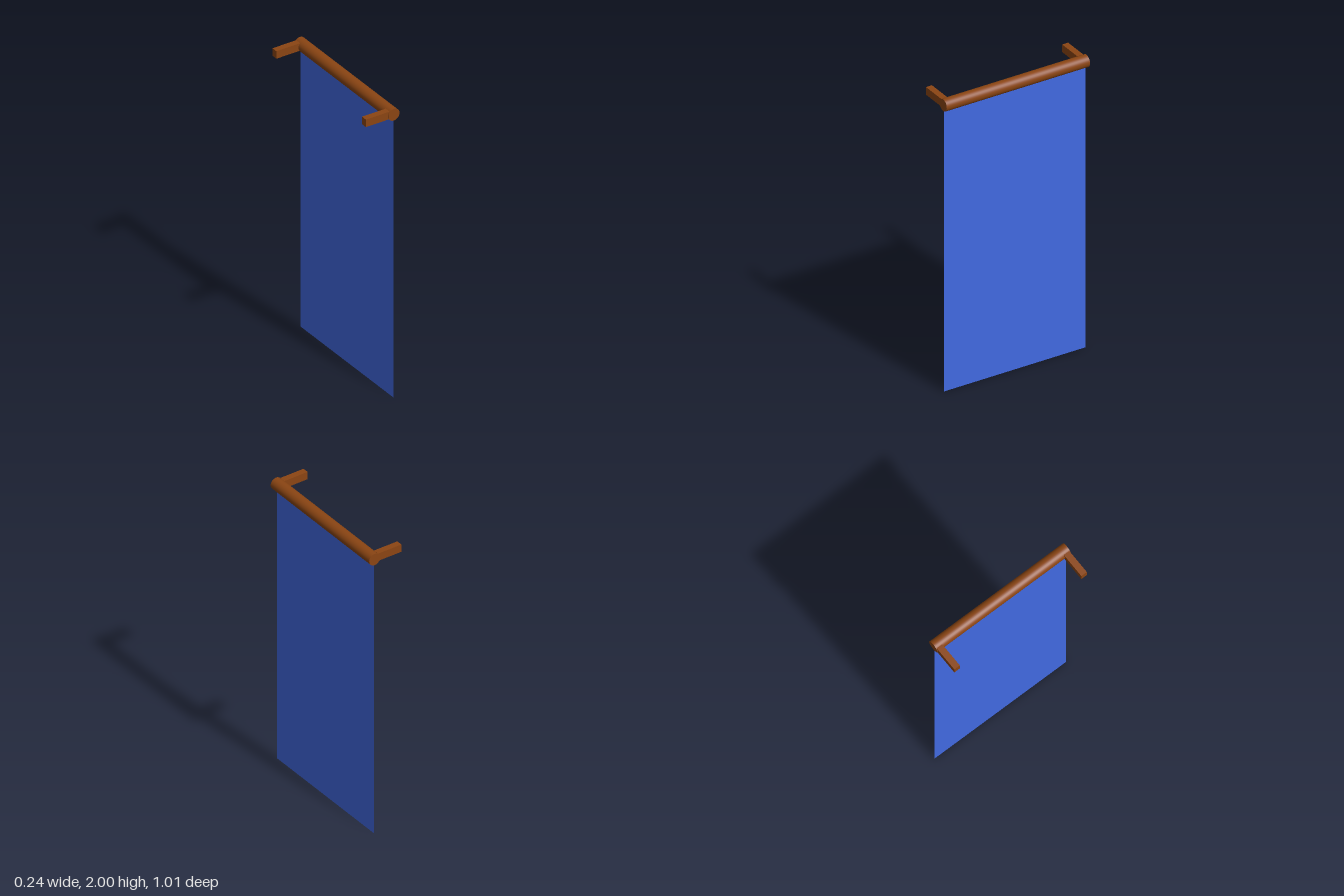
import * as THREE from 'three';

export function createModel() {
  const model = new THREE.Group();
  const wood = new THREE.MeshStandardMaterial({ color: 0x8b4513 });
  const fabric = new THREE.MeshStandardMaterial({ color: 0x4169e1, side: THREE.DoubleSide });

  const rodX = 0.078, rodY = 1.96;

  const add = (name, geometry, material, x, y, z) => {
    const mesh = new THREE.Mesh(geometry, material);
    mesh.name = name;
    mesh.position.set(x, y, z);
    model.add(mesh);
    return mesh;
  };

  // Round rod running front to back
  const rodGeometry = new THREE.CylinderGeometry(0.04, 0.04, 1.01, 32).rotateX(Math.PI / 2);
  add('rod', rodGeometry, wood, rodX, rodY, 0);

  // Two wall brackets reaching from the rod towards -x
  const bracketGeometry = new THREE.BoxGeometry(0.17, 0.052, 0.042);
  for (const side of [1, -1]) {
    add(side > 0 ? 'frontBracket' : 'backBracket', bracketGeometry, wood, -0.035, 1.963, side * 0.48);
  }

  // Thin cloth hanging from the middle of the rod to the ground
  const clothGeometry = new THREE.PlaneGeometry(0.995, rodY).rotateY(Math.PI / 2);
  add('cloth', clothGeometry, fabric, rodX, rodY / 2, 0);

  return model;
}
